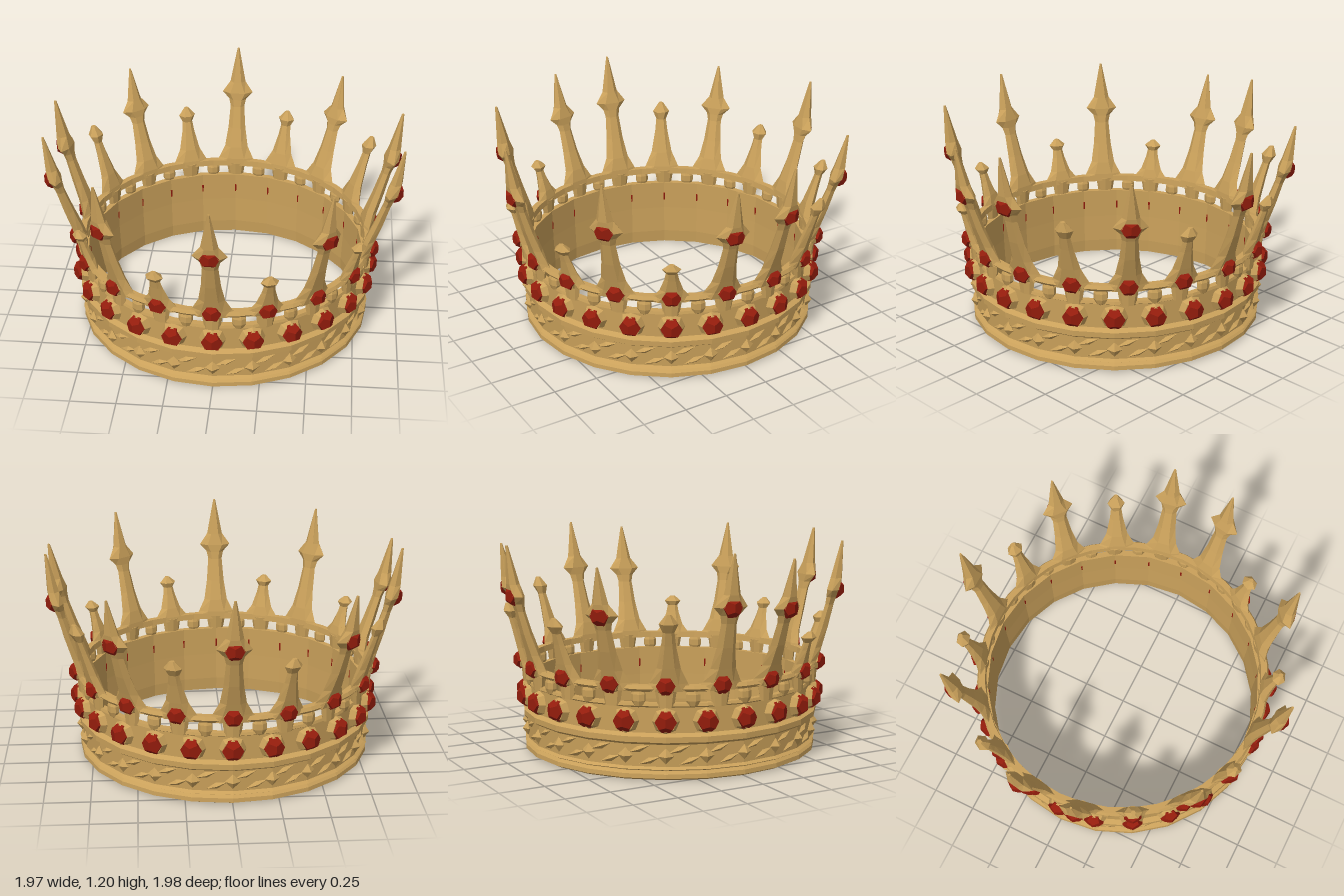
import * as THREE from 'three';

const gold = new THREE.MeshStandardMaterial({ color: 0xc9a05a, flatShading: true });
gold.name = 'gold';
const ruby = new THREE.MeshStandardMaterial({ color: 0x931c0c, flatShading: true });
ruby.name = 'ruby red';

const DEG = Math.PI / 180;

// Adds a mesh on the circle, its local z pointing outwards
function place(parent, name, geometry, material, angle, radius, y, roll = 0) {
  const mesh = new THREE.Mesh(geometry, material);
  mesh.name = name;
  mesh.position.set(Math.sin(angle) * radius, y, Math.cos(angle) * radius);
  mesh.rotation.order = 'YXZ';
  mesh.rotation.set(0, angle, roll);
  parent.add(mesh);
  return mesh;
}

function lathe(parent, name, points, segments) {
  const geometry = new THREE.LatheGeometry(points.map(([r, y]) => new THREE.Vector2(r, y)), segments);
  const mesh = new THREE.Mesh(geometry, gold);
  mesh.name = name;
  parent.add(mesh);
}

// Spike lofted through six-sided sections [height, radius, half width, half thickness], bent round the ring
function spikeGeometry(levels, angle) {
  const positions = [], index = [];
  for (const [y, r, w, t] of levels) {
    const section = [[w, 0], [w / 2, -t], [-w / 2, -t], [-w, 0], [-w / 2, t], [w / 2, t]];
    for (const [u, v] of section) {
      const a = angle + u / r;
      positions.push(Math.sin(a) * (r + v), y, Math.cos(a) * (r + v));
    }
  }
  for (let j = 0; j < levels.length - 1; j++) {
    for (let i = 0; i < 6; i++) {
      const a = j * 6 + i, b = j * 6 + (i + 1) % 6;
      index.push(a, b, b + 6, a, b + 6, a + 6);
    }
  }
  const top = (levels.length - 1) * 6;
  for (let i = 1; i < 5; i++) {
    index.push(top, top + i, top + i + 1);
    index.push(0, i + 1, i);
  }
  const geometry = new THREE.BufferGeometry();
  geometry.setAttribute('position', new THREE.Float32BufferAttribute(positions, 3));
  geometry.setIndex(index);
  const flat = geometry.toNonIndexed();
  flat.computeVertexNormals();
  return flat;
}

// Spike outlines: [fraction of height, fraction of lean, half width, half thickness]
const BASE_Y = 0.475, BASE_R = 0.815;
const tallOutline = [
  [0, 0, 0.14, 0.024], [0.06, 0.03, 0.105, 0.026], [0.16, 0.14, 0.07, 0.028],
  [0.32, 0.36, 0.052, 0.026], [0.5, 0.58, 0.042, 0.022], [0.56, 0.65, 0.052, 0.026],
  [0.62, 0.73, 0.092, 0.034], [0.71, 0.81, 0.046, 0.03], [1, 1, 0.006, 0.006],
];
const smallOutline = [
  [0, 0, 0.14, 0.024], [0.1, 0.06, 0.1, 0.026], [0.3, 0.25, 0.062, 0.026],
  [0.6, 0.58, 0.038, 0.02], [0.77, 0.77, 0.03, 0.018], [0.88, 0.88, 0.05, 0.034],
  [1, 1, 0.014, 0.012],
];
const shape = (outline, height, tipR) => outline.map(([f, l, w, t]) =>
  [BASE_Y + f * (height - BASE_Y), BASE_R + l * (tipR - BASE_R), w, t]);

// [angle, tip height, tip radius], mirrored to the other side
const tallSpikes = [[0, 1.19, 0.98], [39, 1.18, 0.965], [79, 1.15, 0.995], [99.5, 1.195, 0.985], [140, 1.125, 0.99], [180, 1.185, 0.98]];
const smallSpikes = [[20, 0.74, 0.885], [60, 0.72, 0.88], [119, 0.89, 0.935], [160, 0.83, 0.91]];
const mirrored = (list) => list.flatMap(([a, ...rest]) =>
  a % 180 === 0 ? [[a, ...rest]] : [[a, ...rest], [-a, ...rest]]);

const gemGeometry = (size) => new THREE.DodecahedronGeometry(size).scale(1, 1, 0.8);
const collarGeometry = (size) => new THREE.CylinderGeometry(size * 0.9, size * 1.15, 0.035, 8).rotateX(Math.PI / 2);

export function createModel() {
  const crown = new THREE.Group();
  crown.name = 'crown';

  // Solid band with rolled lower rim and raised edges
  lathe(crown, 'band', [
    [0.782, 0.005], [0.805, 0], [0.828, 0.012], [0.826, 0.035], [0.812, 0.05],
    [0.814, 0.19], [0.836, 0.205], [0.836, 0.235], [0.808, 0.25], [0.808, 0.385],
    [0.826, 0.395], [0.822, 0.41], [0.788, 0.41], [0.785, 0.24], [0.778, 0.08], [0.782, 0.005],
  ], 24);
  lathe(crown, 'lowerBead', [[0.808, 0.05], [0.83, 0.06], [0.808, 0.075], [0.808, 0.05]], 24);

  // Studs and leaf engraving round the band
  const ornament = new THREE.Group();
  ornament.name = 'bandOrnament';
  crown.add(ornament);
  const stud = new THREE.OctahedronGeometry(0.042).scale(1, 1, 0.7);
  const leaf = new THREE.OctahedronGeometry(1).scale(0.062, 0.017, 0.018);
  for (let i = 0; i < 24; i++) {
    const a = i * 15 * DEG;
    place(ornament, 'stud', stud, gold, a, 0.817, 0.13);
    place(ornament, 'leaf', leaf, gold, a + 5 * DEG, 0.81, 0.165, 0.35);
    place(ornament, 'leaf', leaf, gold, a + 9 * DEG, 0.81, 0.105, 0.35);
  }

  // Large gems round the band
  const lowerGems = new THREE.Group();
  lowerGems.name = 'lowerGems';
  crown.add(lowerGems);
  const bigGem = gemGeometry(0.061), bigCollar = collarGeometry(0.063);
  for (let i = 0; i < 24; i++) {
    const a = i * 15 * DEG;
    place(lowerGems, 'gemCollar', bigCollar, gold, a, 0.818, 0.315);
    place(lowerGems, 'gem', bigGem, ruby, a, 0.829, 0.315);
  }

  // Openwork posts, alternately broad and drop shaped
  const openwork = new THREE.Group();
  openwork.name = 'openwork';
  crown.add(openwork);
  const broadPost = new THREE.CylinderGeometry(0.058, 0.042, 0.1, 8).scale(1, 1, 0.5);
  const dropPost = new THREE.SphereGeometry(0.05, 7, 5).scale(0.82, 1.1, 0.55);
  for (let i = 0; i < 36; i++) {
    const a = i * 10 * DEG;
    if (i % 2) place(openwork, 'dropPost', dropPost, gold, a, 0.812, 0.44);
    else place(openwork, 'broadPost', broadPost, gold, a, 0.812, 0.44);
  }

  // Ring carrying the spikes
  lathe(crown, 'upperRing', [
    [0.792, 0.472], [0.83, 0.472], [0.842, 0.487], [0.832, 0.506], [0.796, 0.506], [0.792, 0.472],
  ], 36);

  // Small gems on the ring
  const upperGems = new THREE.Group();
  upperGems.name = 'upperGems';
  crown.add(upperGems);
  const smallGem = gemGeometry(0.053), smallCollar = collarGeometry(0.053);
  for (let i = 0; i < 18; i++) {
    const a = i * 20 * DEG;
    place(upperGems, 'gemCollar', smallCollar, gold, a, 0.832, 0.508);
    place(upperGems, 'gem', smallGem, ruby, a, 0.845, 0.508);
  }

  // Tall spikes, each with a gem on its knot
  const spikes = new THREE.Group();
  spikes.name = 'spikes';
  crown.add(spikes);
  const tipGem = gemGeometry(0.056);
  for (const [deg, height, tipR] of mirrored(tallSpikes)) {
    const levels = shape(tallOutline, height, tipR);
    const mesh = new THREE.Mesh(spikeGeometry(levels, deg * DEG), gold);
    mesh.name = 'tallSpike';
    spikes.add(mesh);
    const [knotY, knotR] = levels[6];
    place(spikes, 'spikeGem', tipGem, ruby, deg * DEG, knotR + 0.014, knotY);
  }

  // Small spikes between them
  for (const [deg, height, tipR] of mirrored(smallSpikes)) {
    const mesh = new THREE.Mesh(spikeGeometry(shape(smallOutline, height, tipR), deg * DEG), gold);
    mesh.name = 'smallSpike';
    spikes.add(mesh);
  }

  return crown;
}
